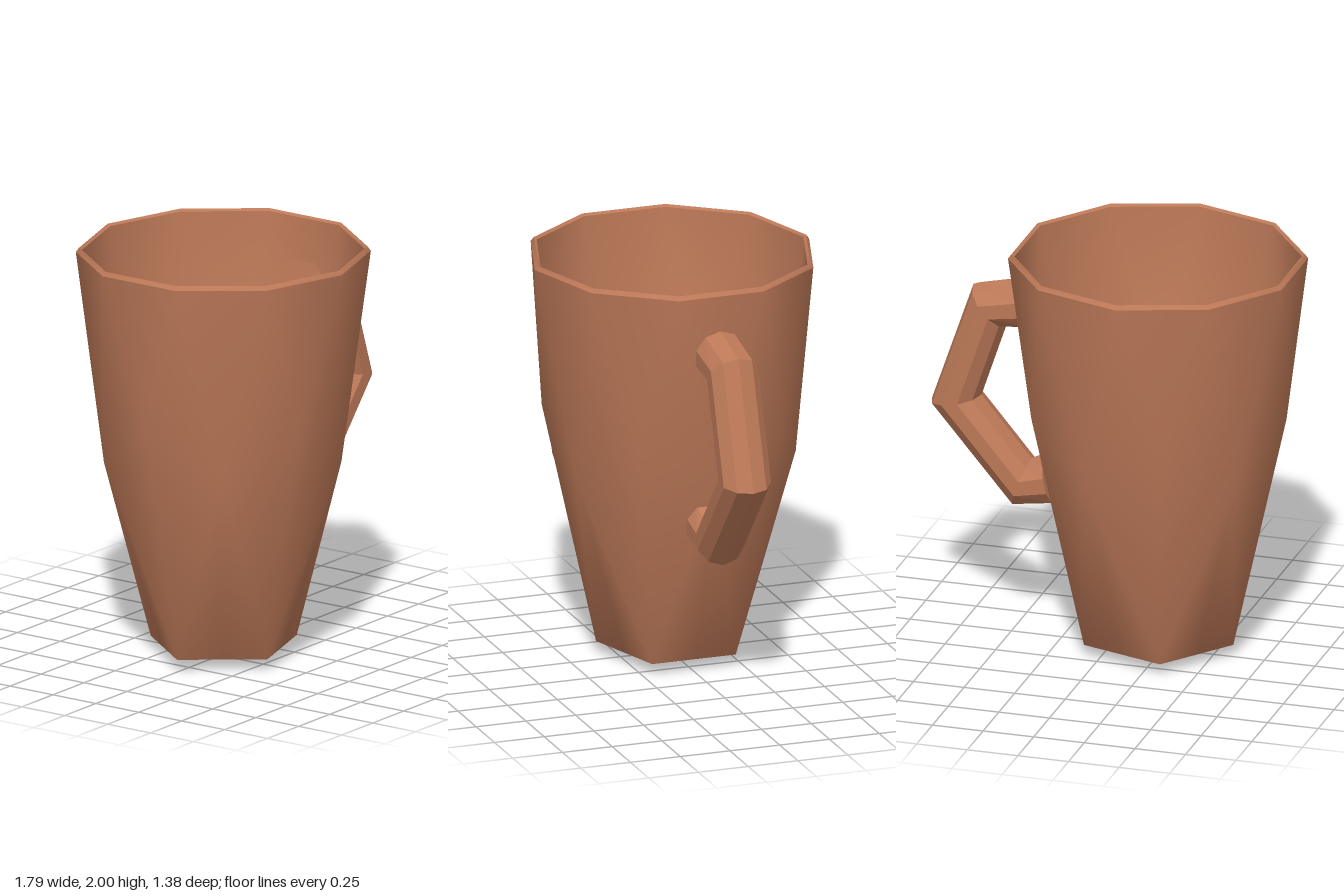
import * as THREE from 'three';

const SIDES = 10;
const CENTRE_X = -0.225;

// Ring of ten points around the mug axis; radius and height may alternate (even, odd)
function ring(rEven, rOdd, yEven, yOdd, turn = 0, zScale = 0.97) {
  return Array.from({ length: SIDES }, (_, k) => {
    const a = ((k + turn) / SIDES) * Math.PI * 2;
    const r = k % 2 ? rOdd : rEven;
    return new THREE.Vector3(CENTRE_X + r * Math.cos(a), k % 2 ? yOdd : yEven, r * Math.sin(a) * zScale);
  });
}

// Skins a stack of rings; alternating diagonals keep the pentagonal foot crisp
function skin(rings, alternate = false) {
  const index = [];
  for (let j = 0; j < rings.length - 1; j++) {
    for (let k = 0; k < SIDES; k++) {
      const n = (k + 1) % SIDES;
      const a0 = j * SIDES + k, a1 = j * SIDES + n, b0 = a0 + SIDES, b1 = a1 + SIDES;
      if (alternate && j < 2 && k % 2) index.push(a0, b0, b1, a0, b1, a1);
      else index.push(a0, b0, a1, a1, b0, b1);
    }
  }
  const geometry = new THREE.BufferGeometry().setFromPoints(rings.flat());
  geometry.setIndex(index);
  geometry.computeVertexNormals();
  return geometry;
}

export function createModel() {
  const clay = new THREE.MeshStandardMaterial({ color: 0xbd7958 });
  const drink = new THREE.MeshStandardMaterial({ color: 0xc88a35 });
  const model = new THREE.Group();
  model.name = 'mug';

  const add = (name, geometry, material) => {
    const mesh = new THREE.Mesh(geometry, material);
    mesh.name = name;
    model.add(mesh);
  };

  // Outer wall: shallow pointed foot, pentagon base, zigzag waist, ten-sided lip
  const apothem = Math.cos(Math.PI / 5);
  add('outerWall', skin([
    ring(0, 0, 0, 0),
    ring(0.372 * apothem, 0.372, 0.06, 0.06, 0, 0.96),
    ring(0.603, 0.635, 1.0, 1.24, 0, 0.965),
    ring(0.71, 0.71, 1.98, 1.98, 0.5),
  ], true), clay);

  // Narrow bevelled lip
  add('lipBevel', skin([ring(0.71, 0.71, 1.98, 1.98, 0.5), ring(0.695, 0.695, 2, 2, 0.5)]), clay);
  add('lip', skin([ring(0.695, 0.695, 2, 2, 0.5), ring(0.68, 0.68, 1.99, 1.99, 0.5)]), clay);

  // Inner wall, closed at the floor
  add('innerWall', skin([
    ring(0.68, 0.68, 1.99, 1.99, 0.5),
    ring(0.582, 0.612, 1.0, 1.24, 1),
    ring(0.29, 0.29, 0.1, 0.1, 1),
    ring(0, 0, 0.1, 0.1, 1),
  ]), clay);

  // Liquid surface
  add('liquid', skin([
    ring(0.588, 0.61, 1.17, 1.17),
    ring(0, 0, 1.17, 1.17),
  ]), drink);

  // Handle: ten-sided rod through angular bends, each ring square to the averaged direction
  const path = [[0.395, 1.685], [0.605, 1.648], [0.77, 1.16], [0.44, 0.772], [0.3, 0.803]]
    .map(([x, y]) => new THREE.Vector3(x, y, 0));
  const direction = (i) => path[i + 1].clone().sub(path[i]).normalize();
  const last = path.length - 1;
  const rodRings = path.map((p, i) => {
    const t = direction(Math.min(i, last - 1)).add(direction(Math.max(i - 1, 0))).normalize();
    const out = new THREE.Vector3(-t.y, t.x, 0);
    return Array.from({ length: SIDES }, (_, k) => {
      const a = (k / SIDES) * Math.PI * 2;
      return p.clone().addScaledVector(out, 0.125 * Math.cos(a)).add(new THREE.Vector3(0, 0, -0.125 * Math.sin(a)));
    });
  });
  const cap = (i) => Array.from({ length: SIDES }, () => path[i].clone());
  const rod = skin([cap(0), ...rodRings, cap(last)]).toNonIndexed();
  // Flat facets
  rod.computeVertexNormals();
  // Outward test on one facet keeps the winding right
  const pos = rod.attributes.position, nor = rod.attributes.normal;
  const facet = SIDES * 6;
  const probe = new THREE.Vector3().fromBufferAttribute(pos, facet).sub(path[0]);
  if (probe.dot(new THREE.Vector3().fromBufferAttribute(nor, facet)) < 0) {
    for (let i = 0; i < pos.count; i += 3) {
      const a = new THREE.Vector3().fromBufferAttribute(pos, i + 1);
      const b = new THREE.Vector3().fromBufferAttribute(pos, i + 2);
      pos.setXYZ(i + 1, b.x, b.y, b.z);
      pos.setXYZ(i + 2, a.x, a.y, a.z);
    }
    rod.computeVertexNormals();
  }
  add('handle', rod, clay);

  return model;
}
